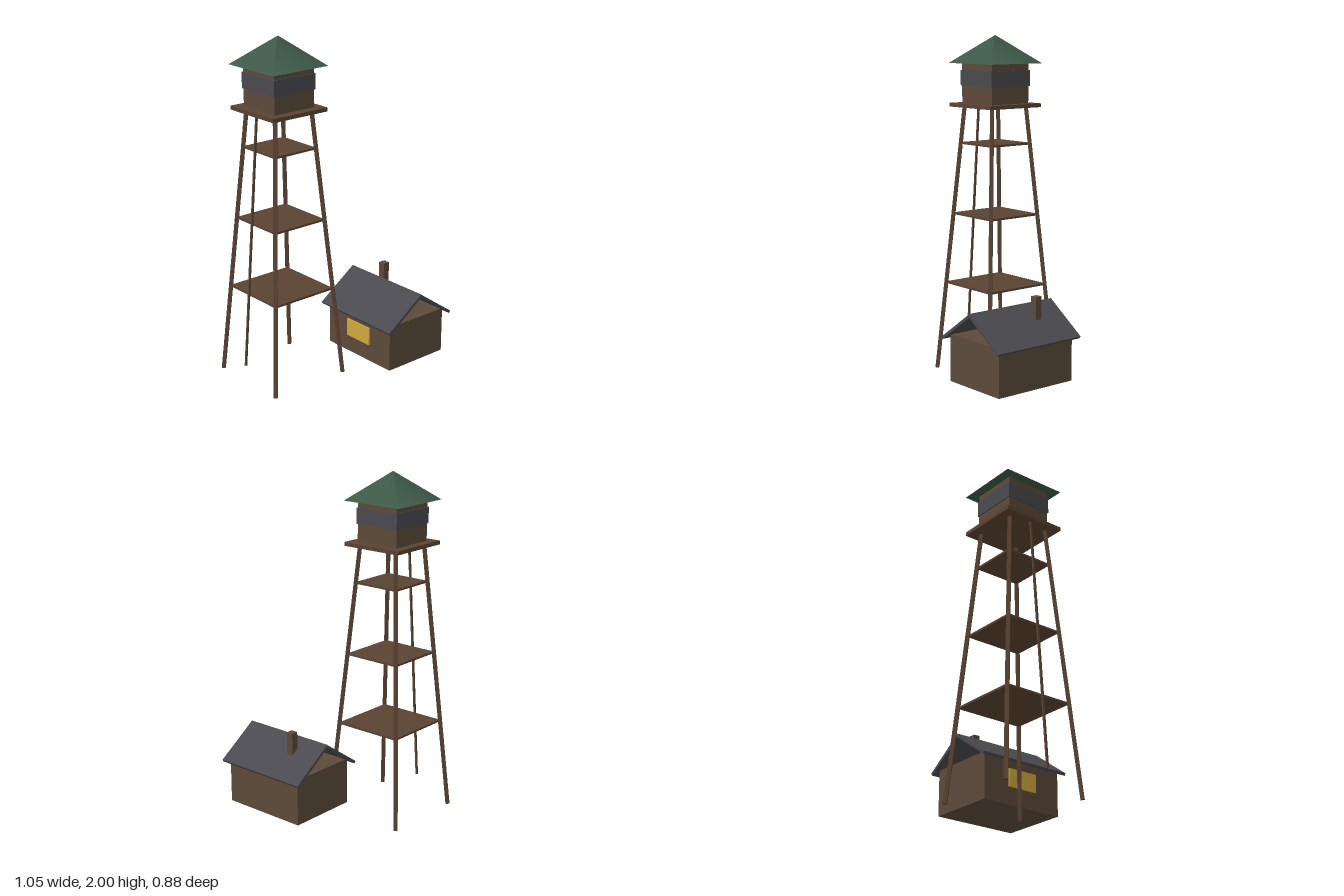
import * as THREE from 'three';

export function createModel() {
  const model = new THREE.Group();
  const mat = (name, color) => {
    const m = new THREE.MeshStandardMaterial({ color });
    m.name = name;
    return m;
  };
  const wall = mat('wall brown', 0x5c4a3a);
  const wood = mat('timber brown', 0x5a4332);
  const slate = mat('slate grey', 0x4a494f);
  const green = mat('roof green', 0x3f5b48);
  const yellow = mat('window yellow', 0xd0a83c);

  const add = (parent, name, geometry, material, x, y, z) => {
    const mesh = new THREE.Mesh(geometry, material);
    mesh.name = name;
    mesh.position.set(x, y, z);
    parent.add(mesh);
    return mesh;
  };
  const box = (parent, name, material, w, h, d, x, y, z) =>
    add(parent, name, new THREE.BoxGeometry(w, h, d), material, x, y, z);

  // Square beam between two points, its sides turned to face the lean
  const beam = (parent, name, a, b, size) => {
    const mesh = box(parent, name, wood, size, size, a.distanceTo(b), 0, 0, 0);
    mesh.position.copy(a).add(b).multiplyScalar(0.5);
    mesh.lookAt(b);
    return mesh;
  };

  // Watchtower
  const tower = new THREE.Group();
  tower.name = 'tower';
  const legTop = 1.59;
  const legSpread = (y) => 0.25 - (0.123 * y) / legTop;
  for (const sx of [-1, 1]) {
    for (const sz of [-1, 1]) {
      const foot = new THREE.Vector3(sx * legSpread(0), 0.001, sz * legSpread(0));
      const head = new THREE.Vector3(sx * legSpread(legTop), legTop, sz * legSpread(legTop));
      beam(tower, 'leg', foot, head, 0.022);
    }
  }

  // Landings between the legs
  for (const y of [0.53, 0.95, 1.37]) {
    const w = 2 * legSpread(y) - 0.004;
    box(tower, 'landing', wood, w, 0.012, w, 0, y, 0);
  }

  // Leaning ladder pole
  beam(tower, 'ladderPole', new THREE.Vector3(-0.27, 0.115, 0), new THREE.Vector3(-0.154, 1.59, 0), 0.011);

  // Lookout cabin
  box(tower, 'deck', wood, 0.38, 0.022, 0.38, 0, 1.595, 0);
  box(tower, 'cabin', wall, 0.274, 0.236, 0.274, 0, 1.722, 0);
  box(tower, 'windowBand', slate, 0.286, 0.091, 0.286, 0, 1.752, 0);
  const roof = new THREE.ConeGeometry(0.193 * Math.SQRT2, 0.162, 4);
  roof.rotateY(Math.PI / 4);
  add(tower, 'towerRoof', roof, green, 0, 1.919, 0);
  tower.position.set(-0.249, 0, -0.174);
  model.add(tower);

  // Hut with an open gable under two roof slabs
  const hut = new THREE.Group();
  hut.name = 'hut';
  box(hut, 'hutWalls', wall, 0.418, 0.27, 0.523, 0, 0.245, 0);
  for (const s of [-1, 1]) {
    const slab = box(hut, 'roofSlab', slate, 0.3, 0.016, 0.588, s * 0.117, 0.4435, 0);
    slab.rotation.z = -s * 0.61;
  }
  box(hut, 'chimney', wall, 0.041, 0.135, 0.041, 0.085, 0.522, -0.108);
  box(hut, 'hutWindow', yellow, 0.0095, 0.105, 0.19, -0.2135, 0.265, 0);
  hut.position.set(0.277, 0, 0.145);
  model.add(hut);

  return model;
}
